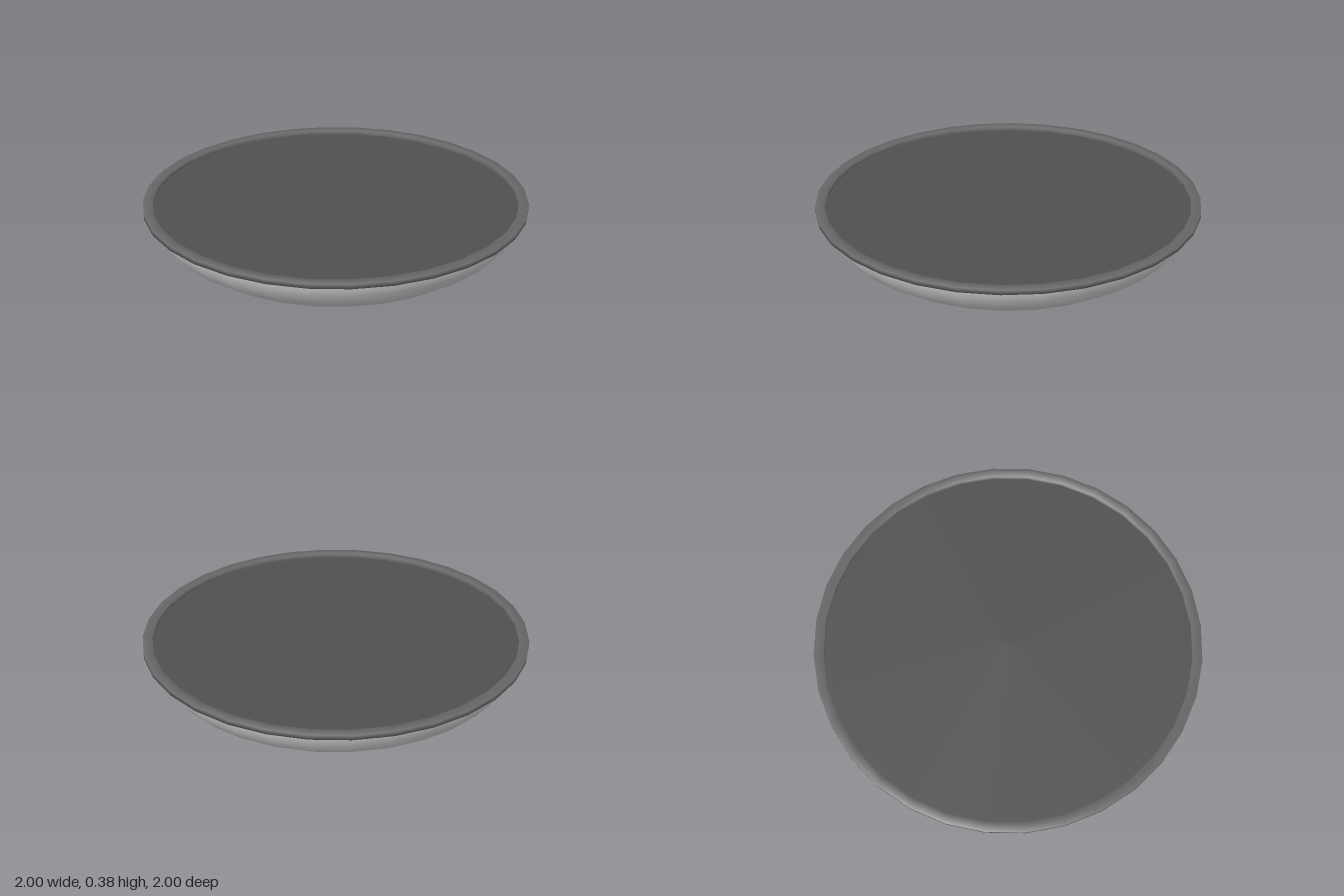
import * as THREE from 'three';

const SIDES = 32;
const BOWL_RADIUS = 0.973;
const BOWL_HEIGHT = 0.364;

export function createModel() {
  const model = new THREE.Group();

  const add = (name, geometry, color, y = 0) => {
    const mesh = new THREE.Mesh(geometry, new THREE.MeshStandardMaterial({ color }));
    mesh.name = name;
    mesh.position.y = y;
    model.add(mesh);
  };

  // Bowl: lower half of a flattened sphere
  const bowl = new THREE.SphereGeometry(1, SIDES, 8, 0, Math.PI * 2, Math.PI / 2, Math.PI / 2);
  bowl.scale(BOWL_RADIUS, BOWL_HEIGHT, BOWL_RADIUS);
  add('bowl', bowl, 0xcccccc, BOWL_HEIGHT);

  // Dark flat surface closing the bowl, recessed below the rim
  const surface = new THREE.CircleGeometry(BOWL_RADIUS - 0.002, SIDES);
  surface.rotateX(-Math.PI / 2);
  add('surface', surface, 0x505050, 0.354);

  // Rim: thin ring with softly shaded edges, anticlockwise from the inner bottom
  const section = [[0.95, 0.358], [1, 0.358], [1, 0.382], [0.95, 0.382], [0.95, 0.358]]
    .map(([r, y]) => new THREE.Vector2(r, y));
  add('rim', new THREE.LatheGeometry(section, SIDES), 0x686868);

  return model;
}
